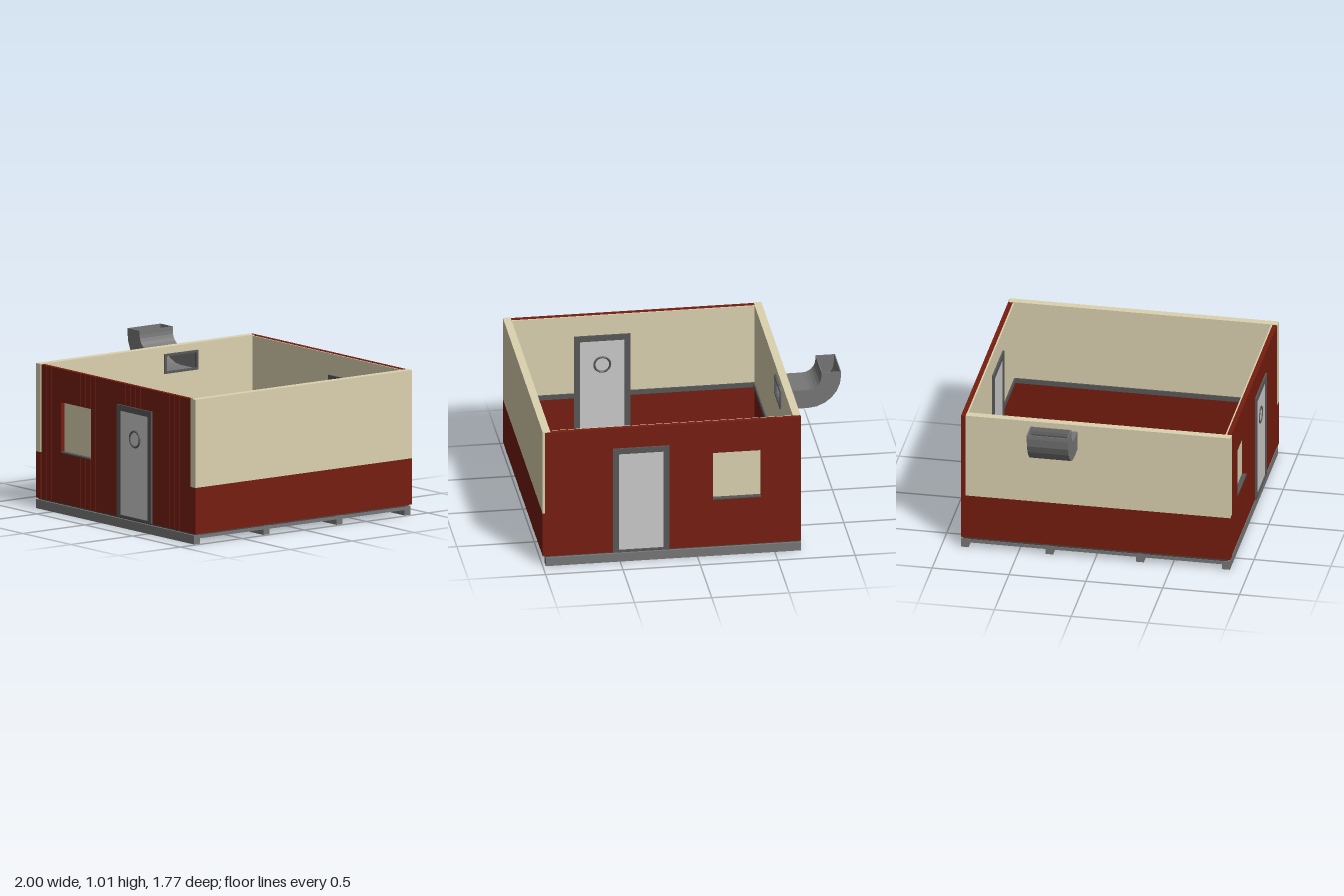
import * as THREE from 'three';
import { mergeGeometries } from 'three/addons/utils/BufferGeometryUtils.js';

const mat = (color) => new THREE.MeshStandardMaterial({ color });

export function createModel() {
  const model = new THREE.Group();
  const red = mat(0x761d10), cream = mat(0xdcd2b0), steel = mat(0x777777);
  const trim = mat(0x585858), pale = mat(0xcccccc), black = mat(0x262626), under = mat(0x484848);

  const add = (name, geometry, material, parent = model) => {
    const mesh = new THREE.Mesh(geometry, material);
    mesh.name = name;
    parent.add(mesh);
    return mesh;
  };
  // Box given by its limits on each axis
  const block = (x0, x1, y0, y1, z0, z1) =>
    new THREE.BoxGeometry(x1 - x0, y1 - y0, z1 - z0)
      .translate((x0 + x1) / 2, (y0 + y1) / 2, (z0 + z1) / 2);
  const rect = (u0, u1, v0, v1) => [[u0, v0], [u1, v0], [u1, v1], [u0, v1]].map((p) => new THREE.Vector2(...p));
  // Rectangle with a rectangular hole
  const plate = (outer, hole, depth) => {
    const shape = new THREE.Shape(rect(...outer));
    shape.holes.push(new THREE.Path(rect(...hole)));
    return new THREE.ExtrudeGeometry(shape, { depth, bevelEnabled: false });
  };

  // Base: cross beams, edge rails and floor panel
  for (const z of [0.85, 0.29, -0.3, -0.85])
    add('floorBeam', block(-0.67, 0.98, 0, 0.058, z - 0.025, z + 0.025), steel);
  for (const x of [-0.67, 0.95])
    add('edgeRail', block(x, x + 0.03, 0.035, 0.056, -0.87, 0.87), steel);
  add('floorPanel', block(-0.665, 0.975, 0.055, 0.072, -0.86, 0.86), under);

  // Checkered floor, tiles cut off at the walls
  const tiles = [[], []];
  const cuts = (start, step, lo, hi) => {
    const list = [lo];
    for (let v = start; v < hi - 0.01; v += step) list.push(v);
    return [...list, hi];
  };
  const xs = cuts(-0.53, 0.138, -0.62, 0.95), zs = cuts(-0.727, 0.1433, -0.84, 0.84);
  for (let i = 0; i < xs.length - 1; i++)
    for (let j = 0; j < zs.length - 1; j++)
      tiles[(i + j) % 2].push(block(xs[i], xs[i + 1], 0.07, 0.076, zs[j], zs[j + 1]));
  add('darkTiles', mergeGeometries(tiles[0]), black);
  add('lightTiles', mergeGeometries(tiles[1]), pale);

  // Side walls: red below, cream above; the right one has a duct opening
  const vent = [-0.385, -0.117, 0.77, 0.897];
  for (const [x, z0] of [[-0.67, -0.845], [0.95, -0.872]])
    add('sideWallLower', block(x, x + 0.05, 0.07, 0.37, z0, 0.878), red);
  add('leftWallUpper', block(0.95, 1, 0.37, 0.943, -0.872, 0.878), cream);
  add('rightWallUpper', plate([-0.845, 0.878, 0.37, 0.943], vent, 0.05).rotateY(-Math.PI / 2), cream)
    .position.x = -0.62;

  // Front and back walls: inner lining, outer planks with narrow grooves, window recess
  const pitch = 0.0517, win = { x0: -0.41, x1: -0.1, y0: 0.395, y1: 0.725 };
  for (const side of [1, -1]) {
    const wall = new THREE.Group();
    wall.name = side > 0 ? 'frontWall' : 'backWall';
    model.add(wall);
    const zBox = (x0, x1, y0, y1, a, b) =>
      block(x0, x1, y0, y1, Math.min(a * side, b * side), Math.max(a * side, b * side));
    add('liningLower', zBox(-0.62, 0.95, 0.07, 0.37, 0.835, 0.846), red, wall);
    add('liningUpper', zBox(-0.62, 0.95, 0.37, 0.938, 0.835, 0.846), cream, wall);

    const xMin = side > 0 ? -0.62 : -0.67, xMax = side > 0 ? 0.95 : 0.985;
    const backing = plate([xMin, xMax, 0.07, 0.94], [win.x0, win.x1, win.y0, win.y1], 0.026);
    add('wallBacking', backing.translate(0, 0, side > 0 ? 0.845 : -0.871), red, wall);
    const planks = [];
    for (let k = -5; k < 27; k++) {
      const x0 = Math.max(xMin, win.x0 + k * pitch + 0.001);
      const x1 = Math.min(xMax, win.x0 + (k + 1) * pitch - 0.001);
      if (x1 - x0 < 0.003) continue;
      const spans = k >= 0 && k < 6 ? [[0.07, win.y0], [win.y1, 0.94]] : [[0.07, 0.94]];
      for (const [y0, y1] of spans) planks.push(zBox(x0, x1, y0, y1, 0.87, 0.875));
    }
    add('planks', mergeGeometries(planks), red, wall);
    add('windowSill', zBox(win.x0, win.x1, win.y0, win.y0 + 0.008, 0.845, 0.876), trim, wall);

    // Door with frame showing on both faces
    add('doorLeaf', zBox(0.215, 0.515, 0.08, 0.765, 0.829, 0.878), pale, wall);
    for (const x of [0.183, 0.51])
      add('doorJamb', zBox(x, x + 0.037, 0.072, 0.8, 0.823, 0.886), trim, wall);
    add('doorHead', zBox(0.22, 0.51, 0.762, 0.8, 0.823, 0.886), trim, wall);
    add('doorThreshold', zBox(0.22, 0.51, 0.072, 0.086, 0.823, 0.886), trim, wall);
    if (side > 0)
      for (const z of [0.827, 0.878])
        add('porthole', new THREE.TorusGeometry(0.051, 0.007, 8, 32).translate(0.365, 0.595, z), trim, wall);

    // Skirting and chair rail, broken at the door
    for (const [y0, y1] of [[0.072, 0.1], [0.368, 0.4]])
      for (const [x0, x1] of [[-0.62, 0.183], [0.547, 0.95]])
        add('wallTrim', zBox(x0, x1, y0, y1, 0.826, 0.836), trim, wall);
  }
  for (const x of [-0.622, 0.941])
    for (const [y0, y1] of [[0.072, 0.1], [0.368, 0.4]])
      add('sideTrim', block(x, x + 0.011, y0, y1, -0.836, 0.836), trim);

  // Open rectangular duct, bending upward outside the right wall
  const duct = new THREE.Group();
  duct.name = 'duct';
  model.add(duct);
  const cx = -0.785, cy = 0.985;
  const curve = (r) => {
    const points = [new THREE.Vector2(cx - r, 1.012)];
    for (let i = 0; i <= 6; i++) {
      const a = Math.PI * (1 + i / 12);
      points.push(new THREE.Vector2(cx + r * Math.cos(a), cy + r * Math.sin(a)));
    }
    return [...points, new THREE.Vector2(-0.61, cy - r)];
  };
  const band = (name, r0, r1, z0, z1) => {
    const shape = new THREE.Shape([...curve(r1), ...curve(r0).reverse()]);
    add(name, new THREE.ExtrudeGeometry(shape, { depth: z1 - z0, bevelEnabled: false }).translate(0, 0, z0), steel, duct);
  };
  band('ductOuterBend', 0.209, 0.215, vent[0], vent[1]);
  band('ductInnerBend', 0.088, 0.094, vent[0], vent[1]);
  band('ductSide', 0.094, 0.209, vent[0], vent[0] + 0.006);
  band('ductSide', 0.094, 0.209, vent[1] - 0.006, vent[1]);
  add('ductFrame', plate(vent, [vent[0] + 0.014, vent[1] - 0.014, vent[2] + 0.014, vent[3] - 0.014], 0.016)
    .rotateY(-Math.PI / 2), trim, duct).position.x = -0.605;

  return model;
}
